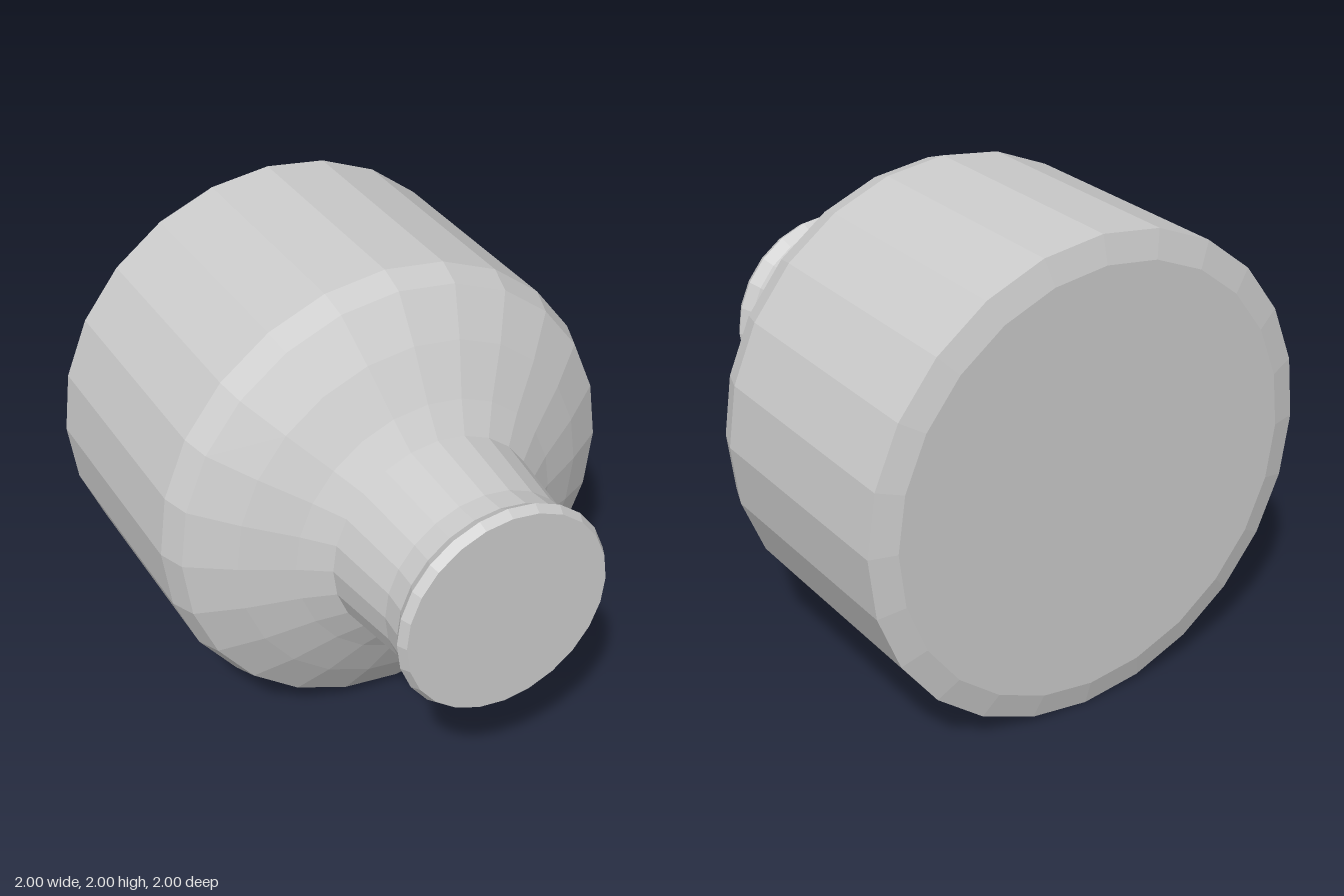
import * as THREE from 'three';

const SIDES = 24;

export function createModel() {
  const group = new THREE.Group();
  const material = new THREE.MeshStandardMaterial({ color: 0xcccccc, flatShading: true });

  // Turns a [z, radius] profile, ordered back to front, around the z axis.
  function addTurned(name, profile) {
    const points = profile.map(([z, r]) => new THREE.Vector2(r, z));
    const geometry = new THREE.LatheGeometry(points, SIDES);
    geometry.rotateX(Math.PI / 2);
    const mesh = new THREE.Mesh(geometry, material);
    mesh.name = name;
    mesh.position.y = 1;
    group.add(mesh);
  }

  // Wide drum with a closed, bevelled back and a small front bevel
  addTurned('body', [[-1, 0], [-1, 0.89], [-0.97, 1], [0.04, 1], [0.15, 0.96]]);

  // Slightly curved taper down to the neck
  addTurned('shoulder', [[0.15, 0.96], [0.27, 0.78], [0.38, 0.58], [0.46, 0.46]]);

  // Waisted neck
  addTurned('neck', [[0.46, 0.46], [0.8, 0.42], [0.91, 0.43]]);

  // Flared lip with a flat closed front
  addTurned('lip', [[0.91, 0.43], [0.96, 0.46], [1, 0.44], [1, 0]]);

  return group;
}
